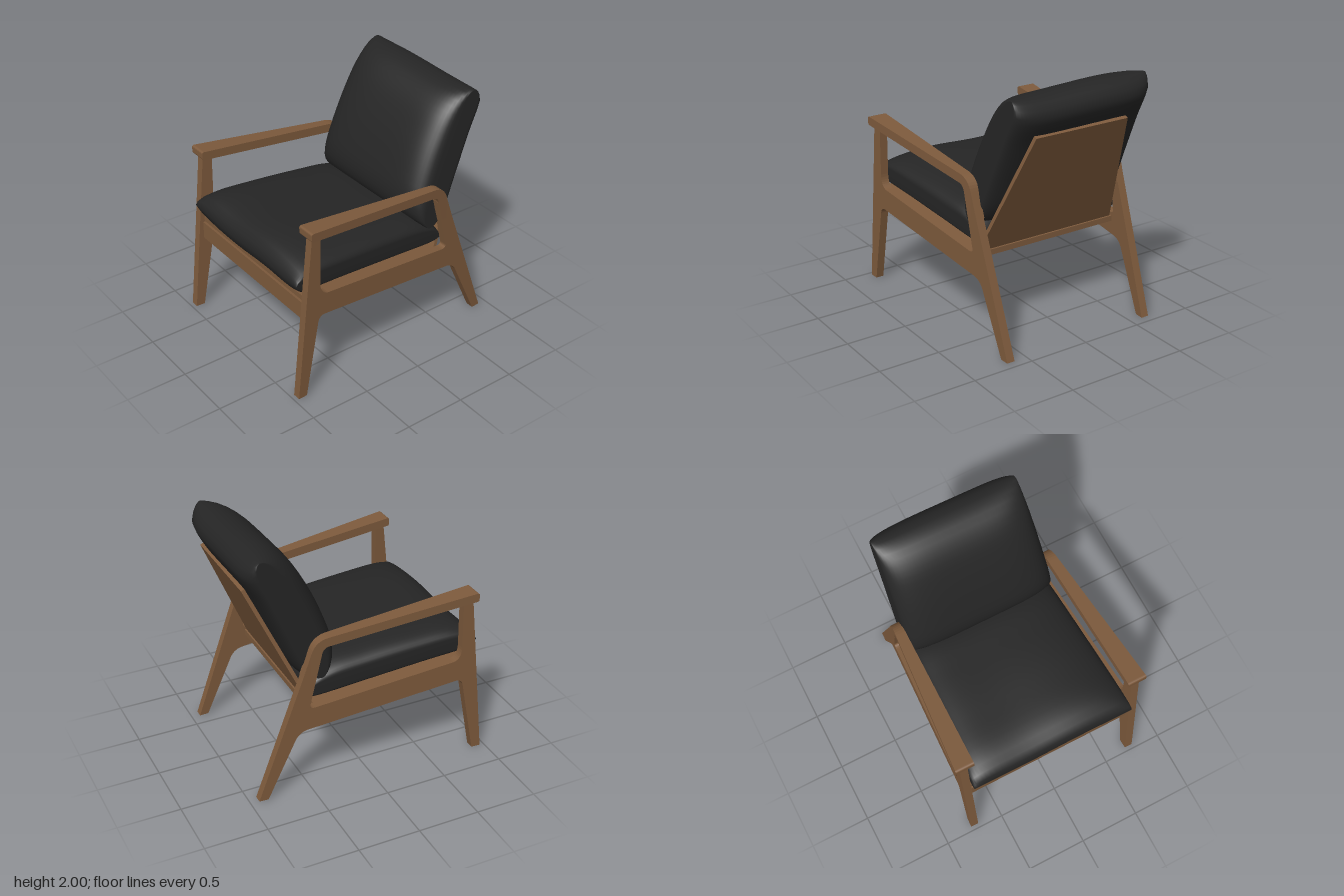
import * as THREE from 'three';

const wood = new THREE.MeshStandardMaterial({ color: 0x7d5a3c });
wood.name = 'wood';
const fabric = new THREE.MeshStandardMaterial({ color: 0x252525 });
fabric.name = 'blackFabric';

// Outline in (z, y): [z, y] is a straight step, [cz, cy, z, y] a rounded corner.
function sideShape(steps) {
  const s = new THREE.Shape();
  steps.forEach((p, i) => {
    if (i === 0) s.moveTo(-p[0], p[1]);
    else if (p.length === 2) s.lineTo(-p[0], p[1]);
    else s.quadraticCurveTo(-p[0], p[1], -p[2], p[3]);
  });
  return s;
}

// Extrudes a side outline across x; centre and half width both vary with z.
function sidePart(name, steps, centre, half) {
  const g = new THREE.ExtrudeGeometry(sideShape(steps), { depth: 2, bevelEnabled: false, curveSegments: 8 });
  g.translate(0, 0, -1).rotateY(Math.PI / 2);
  const p = g.attributes.position;
  for (let i = 0; i < p.count; i++) {
    const z = p.getZ(i);
    p.setX(i, centre(z) + p.getX(i) * half(z));
  }
  g.computeVertexNormals();
  const mesh = new THREE.Mesh(g, wood);
  mesh.name = name;
  return mesh;
}

// Legs, front post and side rail in one piece
const FRAME = [
  [0.965, 0], [0.82, 1.39], [0.742, 1.39], [0.75, 0.97],
  [0.75, 0.87, 0.68, 0.858], [-0.46, 0.742], [-0.515, 0.737, -0.505, 0.775],
  [-0.41, 1.19], [-0.49, 1.21], [-0.93, 0], [-0.855, 0], [-0.63, 0.48],
  [-0.6, 0.545, -0.53, 0.557], [0.71, 0.68], [0.76, 0.685, 0.773, 0.63], [0.89, 0],
];
// Armrest bending down into the back leg
const ARM = [
  [0.83, 1.446], [-0.36, 1.322], [-0.46, 1.312, -0.492, 1.215], [-0.56, 1.02],
  [-0.45, 1.02], [-0.412, 1.19], [-0.4, 1.24, -0.36, 1.248],
  [0.83, 1.375], [0.85, 1.376, 0.85, 1.395], [0.85, 1.43], [0.85, 1.447, 0.83, 1.446],
];

// Cushion lofted across x: a closed (z, y) profile whose thickness about an axis shrinks at the ends.
function cushion(name, profile, a, b, endScale, halfWidth, lift) {
  const N = 48, M = 32;
  const curve = new THREE.CatmullRomCurve3(profile.map(([z, y]) => new THREE.Vector3(0, y, z)), true);
  const ring = curve.getSpacedPoints(N).slice(0, N);
  const A = new THREE.Vector3(0, a[1], a[0]);
  const dir = new THREE.Vector3(0, b[1], b[0]).sub(A).normalize();
  const pos = [], idx = [];
  const put = (point, u, s) => {
    const foot = A.clone().addScaledVector(dir, point.clone().sub(A).dot(dir));
    const q = foot.clone().lerp(point, s);
    const x = u * halfWidth(q, u);
    pos.push(x, q.y + lift(x, q), q.z);
  };
  for (let j = 0; j <= M; j++) {
    const u = Math.sin((j / M - 0.5) * Math.PI);
    const s = endScale + (1 - endScale) * Math.sqrt(Math.max(0, 1 - Math.abs(u) ** 5));
    for (const point of ring) put(point, u, s);
  }
  for (let j = 0; j < M; j++) for (let i = 0; i < N; i++) {
    const k = (i + 1) % N, p = j * N + i, q = j * N + k;
    idx.push(p, p + N, q, q, p + N, q + N);
  }
  // End caps
  const mid = ring.reduce((m, p) => m.addScaledVector(p, 1 / N), new THREE.Vector3());
  put(mid, -1, endScale);
  put(mid, 1, endScale);
  const c0 = (M + 1) * N, last = M * N;
  for (let i = 0; i < N; i++) {
    const k = (i + 1) % N;
    idx.push(c0, i, k, c0 + 1, last + k, last + i);
  }
  const g = new THREE.BufferGeometry();
  g.setAttribute('position', new THREE.Float32BufferAttribute(pos, 3));
  g.setIndex(idx);
  g.computeVertexNormals();
  const mesh = new THREE.Mesh(g, fabric);
  mesh.name = name;
  return mesh;
}

export function createModel() {
  const group = new THREE.Group();
  group.name = 'loungeChair';

  // Mirrored side frames and armrests, splayed toward the front
  for (const [label, s] of [['left', 1], ['right', -1]]) {
    group.add(sidePart(label + 'SideFrame', FRAME, z => s * (0.6865 + 0.05 * z), () => 0.0325));
    const t = z => (z + 0.5) / 1.35;
    group.add(sidePart(label + 'Armrest', ARM, z => s * (0.658 + 0.066 * t(z)), z => 0.036 + 0.04 * t(z)));
  }

  // Front rail and sloping seat panel
  const inner = z => 0.656 + 0.05 * z;
  group.add(sidePart('frontRail', [[0.855, 0.64], [0.855, 0.79], [0.8, 0.785], [0.8, 0.635]], () => 0, inner));
  group.add(sidePart('seatPanel', [[0.84, 0.795], [0.84, 0.838], [-0.49, 0.715], [-0.49, 0.67]], () => 0, inner));

  // Tapered back panel
  const trapezoid = new THREE.Shape([[-0.625, 0], [0.625, 0], [0.41, 1.105], [-0.41, 1.105]]
    .map(([x, y]) => new THREE.Vector2(x, y)));
  const back = new THREE.Mesh(new THREE.ExtrudeGeometry(trapezoid, { depth: 0.03, bevelEnabled: false }), wood);
  back.name = 'backPanel';
  back.position.set(0, 0.68, -0.461);
  back.rotation.x = -0.418;
  group.add(back);

  // Seat cushion
  group.add(cushion('seatCushion', [
    [0.86, 0.855], [0.905, 0.92], [0.912, 0.99], [0.87, 1.06], [0.74, 1.103], [0.4, 1.1], [0, 1.07],
    [-0.3, 1.03], [-0.45, 0.95], [-0.5, 0.85], [-0.49, 0.77], [-0.44, 0.752], [0, 0.785], [0.5, 0.828], [0.8, 0.845],
  ], [0.88, 0.965], [-0.5, 0.84], 0.4,
  q => 0.65 + 0.043 * q.z,
  (x, q) => 0.006 * Math.sin(x * 7) * (q.z + 0.5)));

  // Back cushion, with a slightly uneven top edge
  group.add(cushion('backCushion', [
    [-0.44, 0.935], [-0.33, 0.965], [-0.24, 1.07], [-0.228, 1.2], [-0.28, 1.38], [-0.4, 1.65], [-0.54, 1.87],
    [-0.67, 1.975], [-0.79, 2.0], [-0.88, 1.975], [-0.955, 1.865], [-0.92, 1.77], [-0.85, 1.64],
    [-0.72, 1.34], [-0.6, 1.06], [-0.53, 0.965],
  ], [-0.38, 0.95], [-0.83, 1.99], 0.42,
  (q, u) => (u < 0 ? 0.635 - 0.02 * (q.y - 1) : 0.64 - 0.065 * (q.y - 1)),
  (x, q) => -0.022 * THREE.MathUtils.smoothstep(x, -0.35, 0.4) * THREE.MathUtils.clamp(q.y - 1, 0, 1)));

  return group;
}
